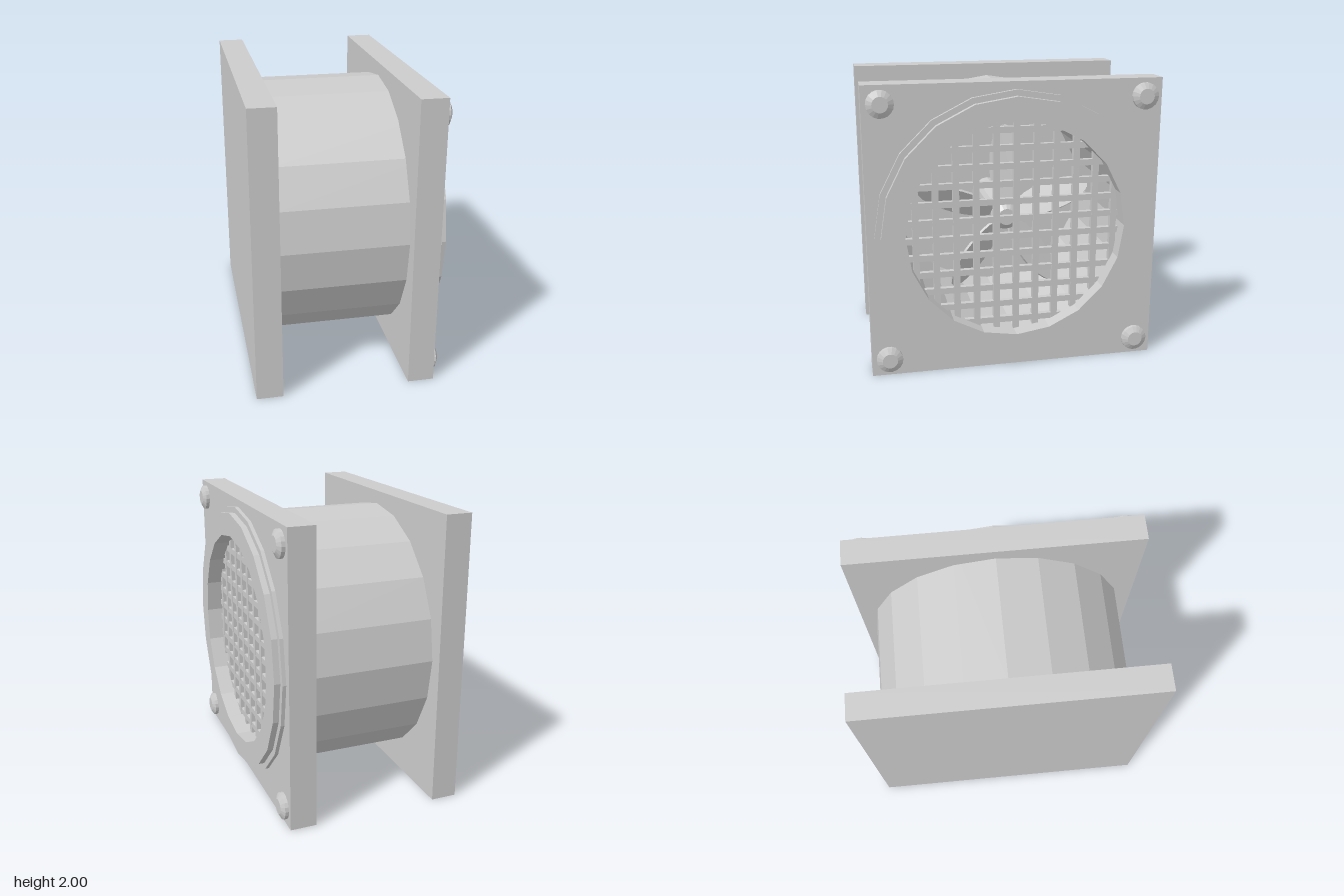
import * as THREE from 'three';

const SIDES = 20;
const HOLE = 0.75;

export function createModel() {
  const model = new THREE.Group();
  const flat = new THREE.MeshStandardMaterial({ color: 0xcccccc, flatShading: true });
  const thin = new THREE.MeshStandardMaterial({ color: 0xcccccc, flatShading: true, side: THREE.DoubleSide });

  const add = (name, geometry, parent = model, material = flat) => {
    const mesh = new THREE.Mesh(geometry, material);
    mesh.name = name;
    parent.add(mesh);
    return mesh;
  };
  // Revolve [radius, x] points around the x axis
  const turned = (points, sides) =>
    new THREE.LatheGeometry(points.map(([r, x]) => new THREE.Vector2(r, x)), sides).rotateZ(-Math.PI / 2);

  // Solid wall plate
  add('backPlate', new THREE.BoxGeometry(0.18, 2, 2)).position.set(-0.555, 1, 0);

  // Square front plate, opened for the duct
  const square = new THREE.Shape([[-1, -1], [1, -1], [1, 1], [-1, 1]].map(([x, y]) => new THREE.Vector2(x, y)));
  const opening = new THREE.Path();
  for (let i = 0; i <= SIDES; i++) {
    const a = (i / SIDES) * Math.PI * 2;
    opening[i ? 'lineTo' : 'moveTo'](0.85 * Math.cos(a), 0.85 * Math.sin(a));
  }
  square.holes.push(opening);
  const plate = new THREE.ExtrudeGeometry(square, { depth: 0.18, bevelEnabled: false }).rotateY(Math.PI / 2);
  add('frontPlate', plate).position.set(0.4, 1, 0);

  // Hollow duct with the stepped rim in front of the plate
  add('ductAndRim', turned([
    [0.91, -0.47], [0.91, 0.57], [0.95, 0.57], [0.95, 0.605],
    [0.91, 0.605], [0.91, 0.645], [HOLE, 0.645], [HOLE, -0.47],
  ], SIDES)).position.y = 1;

  // Grille bars, each cut to the chord of the opening
  const grille = new THREE.Group();
  grille.name = 'grille';
  grille.position.set(0.52, 1, 0);
  model.add(grille);
  const chord = (d) => 2 * Math.sqrt(0.77 ** 2 - d * d);
  for (let i = -5; i <= 5; i++) {
    const z = -0.016 + i * 0.138;
    add('verticalBar', new THREE.BoxGeometry(0.04, chord(z), 0.043), grille).position.z = z;
  }
  for (let i = -6; i < 6; i++) {
    const y = (i + 0.5) * 0.123;
    add('horizontalBar', new THREE.BoxGeometry(0.036, 0.042, chord(y)), grille).position.y = y;
  }

  // Five pitched blades on a central hub
  const fan = new THREE.Group();
  fan.name = 'fan';
  fan.position.set(0.2, 1, 0);
  model.add(fan);
  add('hub', turned([[0.1, -0.67], [0.1, 0.06], [0.06, 0.1], [0, 0.1]], 16), fan);
  const outline = new THREE.Shape();
  outline.absellipse(0, 0, 0.11, 0.29, 0, Math.PI * 2);
  const blade = new THREE.ExtrudeGeometry(outline, { depth: 0.02, bevelEnabled: false, curveSegments: 10 })
    .translate(0, 0, -0.01)
    .rotateY(Math.PI / 2 - 0.55)
    .translate(0, 0.36, 0);
  for (let i = 0; i < 5; i++) {
    add('blade', blade, fan, thin).rotation.x = (i / 5) * Math.PI * 2;
  }

  // Corner screws with bevelled heads
  const screw = turned([[0.09, 0], [0.09, 0.03], [0.052, 0.05], [0, 0.05]], 18);
  for (const y of [0.12, 1.88]) {
    for (const z of [-0.88, 0.88]) add('cornerScrew', screw).position.set(0.575, y, z);
  }

  return model;
}
